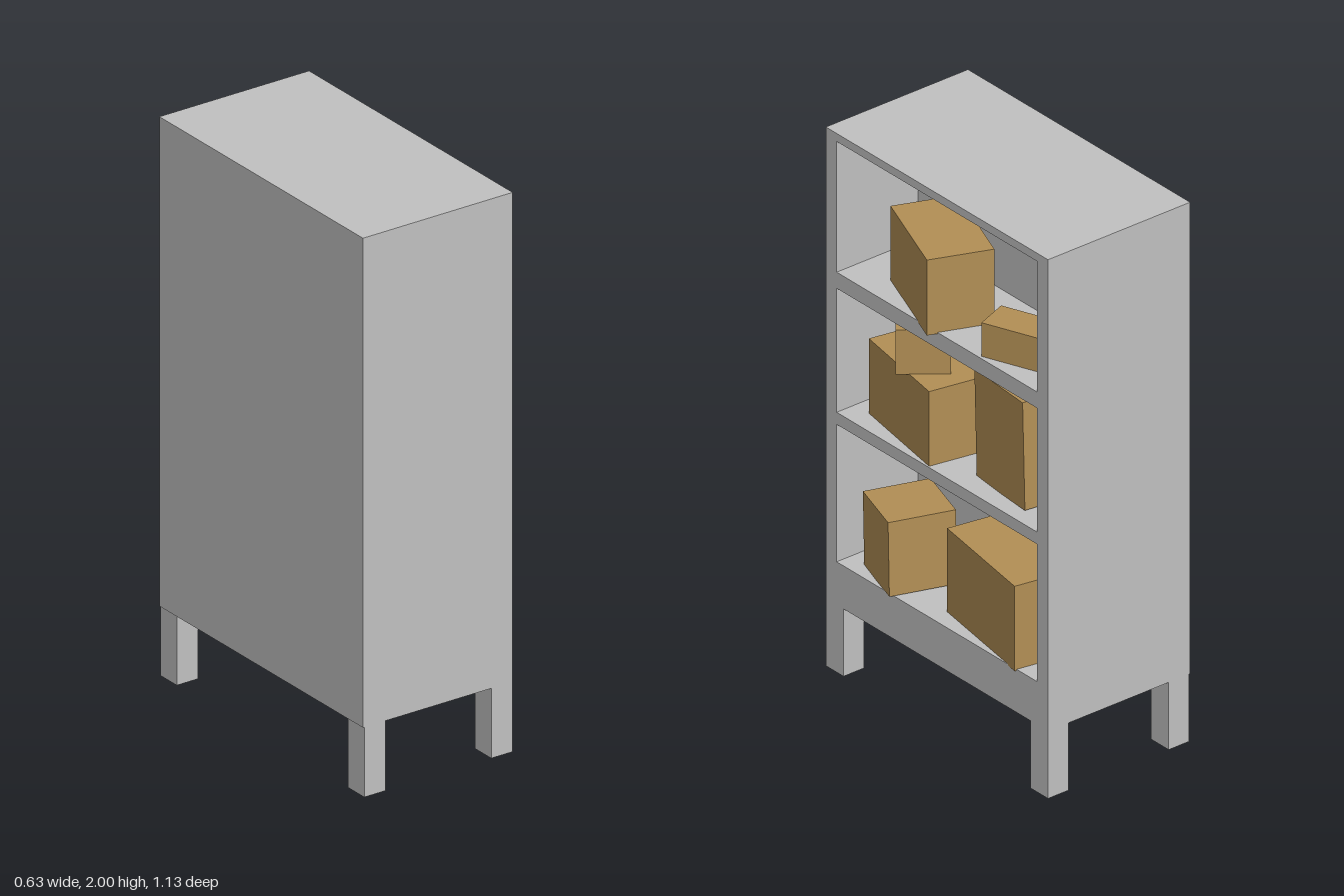
import * as THREE from 'three';

export function createModel() {
  const model = new THREE.Group();
  const grey = new THREE.MeshStandardMaterial({ color: 0xc0c0c0 });
  grey.name = 'cabinet grey';
  const tan = new THREE.MeshStandardMaterial({ color: 0xb28f55 });
  tan.name = 'cardboard tan';

  const add = (name, geometry, material, x = 0, y = 0, z = 0) => {
    const mesh = new THREE.Mesh(geometry, material);
    mesh.name = name;
    mesh.position.set(x, y, z);
    model.add(mesh);
    return mesh;
  };

  const rectangle = (path, halfWidth, bottom, top) => {
    path.moveTo(-halfWidth, bottom);
    path.lineTo(halfWidth, bottom);
    path.lineTo(halfWidth, top);
    path.lineTo(-halfWidth, top);
    path.closePath();
    return path;
  };

  // Cabinet shell, opening towards +x
  const back = -0.31, front = 0.28;
  const bays = [[0.41, 0.92], [0.965, 1.425], [1.485, 1.97]];
  const outline = rectangle(new THREE.Shape(), 0.565, 0.25, 2);
  for (const [bottom, top] of bays) outline.holes.push(rectangle(new THREE.Path(), 0.51, bottom, top));
  const shell = new THREE.ExtrudeGeometry(outline, { depth: front - back, bevelEnabled: false });
  shell.rotateY(Math.PI / 2);
  add('cabinetShell', shell, grey, back);

  // Outer back panel and the inner back of each bay
  add('backPanel', new THREE.BoxGeometry(0.005, 1.75, 1.13), grey, back - 0.0025, 1.125, 0);
  bays.forEach(([bottom, top], i) => {
    add(`bayBack${i + 1}`, new THREE.BoxGeometry(0.02, top - bottom, 1.02), grey, -0.07, (top + bottom) / 2, 0);
  });

  // Four square legs
  for (const x of [back + 0.0425, front - 0.0425]) {
    for (const side of [-1, 1]) {
      add(`${x > 0 ? 'open' : 'back'}SideLeg${side > 0 ? 'Front' : 'Rear'}`,
        new THREE.BoxGeometry(0.085, 0.25, 0.09), grey, x, 0.125, side * 0.52);
    }
  }

  // Cartons: x, y, z at the bottom middle of the outward face, yaw, width, depth, height, lean
  const cartons = [
    ['topLargeCarton', 0.246, 1.48, 0.185, 0.37, 0.375, 0.23, 0.28, 0],
    ['topSmallCarton', 0.233, 1.485, -0.31, -0.37, 0.205, 0.13, 0.125, 0],
    ['middleWideCarton', 0.239, 0.962, 0.243, 0.18, 0.4, 0.25, 0.28, 0],
    ['stackedCarton', 0.237, 1.24, 0.263, 0.69, 0.15, 0.18, 0.165, 0],
    ['middleTallCarton', 0.21, 0.965, -0.24, 0.11, 0.285, 0.25, 0.395, 0.03],
    ['bottomSmallCarton', 0.26, 0.41, 0.33, 0.33, 0.232, 0.234, 0.272, 0.025],
    ['bottomLargeCarton', 0.25, 0.405, -0.187, 0.17, 0.44, 0.27, 0.315, 0],
  ];
  for (const [name, x, y, z, yaw, width, depth, height, lean] of cartons) {
    const geometry = new THREE.BoxGeometry(depth, height, width).translate(-depth / 2, height / 2, 0);
    add(name, geometry, tan, x, y, z).rotation.set(lean, -yaw, 0);
  }

  return model;
}
